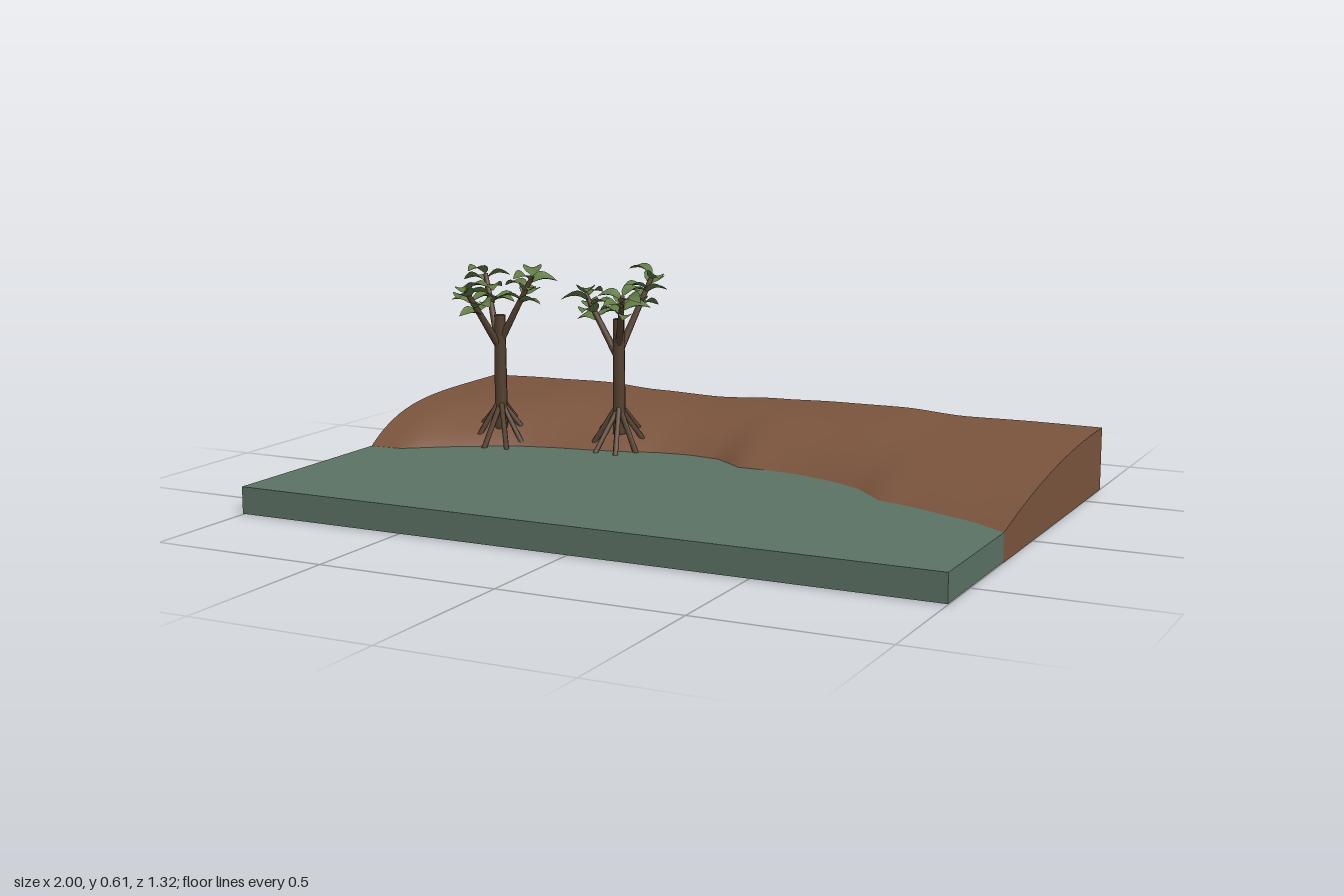
import * as THREE from 'three';

const paint = (name, color) => {
  const m = new THREE.MeshStandardMaterial({ color });
  m.name = name;
  return m;
};
const soil = paint('soil brown', 0x7a543d);
const water = paint('murky water green', 0x5b7265);
const bark = paint('dark bark', 0x54402f);
const leafGreen = paint('leaf green', 0x617a45);
leafGreen.side = THREE.DoubleSide;

const BACK = -0.66, FRONT = 0.66, WATER_Y = 0.077;
// shoreline z every 0.1 in x, and ridge height every 0.2 in x
const SHORE = [0.05, 0.045, -0.03, -0.09, -0.14, -0.165, -0.18, -0.2, -0.235, -0.245, -0.23,
  -0.155, -0.155, -0.14, -0.105, -0.05, 0.055, 0.085, 0.13, 0.175, 0.245];
const RIDGE = [0.183, 0.187, 0.19, 0.179, 0.174, 0.184, 0.189, 0.19, 0.179, 0.181, 0.18];

function sample(table, x, smooth) {
  const f = (x + 1) / 2 * (table.length - 1);
  const i = Math.min(Math.floor(f), table.length - 2);
  const k = f - i;
  return THREE.MathUtils.lerp(table[i], table[i + 1], smooth ? k * k * (3 - 2 * k) : k);
}

// point on the bank: t = 0 at the shore, 1 at the back edge
function bankPoint(x, t) {
  const steep = THREE.MathUtils.lerp(4.8, 2.1, (x + 1) / 2);
  const rise = 1 - Math.pow(1 - t, steep);
  return new THREE.Vector3(x,
    WATER_Y + (sample(RIDGE, x, true) - WATER_Y) * rise,
    THREE.MathUtils.lerp(sample(SHORE, x), BACK, t));
}

// plane whose vertices are placed by a rule of (u, v)
function sheet(nu, nv, rule) {
  const g = new THREE.PlaneGeometry(1, 1, nu, nv);
  const { position, uv } = g.attributes;
  for (let i = 0; i < position.count; i++) {
    const p = rule(uv.getX(i), uv.getY(i));
    position.setXYZ(i, p.x, p.y, p.z);
  }
  g.computeVertexNormals();
  return g;
}

function add(parent, name, geometry, material) {
  const mesh = new THREE.Mesh(geometry, material);
  mesh.name = name;
  parent.add(mesh);
  return mesh;
}

function buildGround(root) {
  const bank = new THREE.Group();
  bank.name = 'bank';
  root.add(bank);
  add(bank, 'bankSurface', sheet(60, 20, (u, v) => bankPoint(u * 2 - 1, Math.pow(v, 1.5))), soil);
  // vertical cut faces, each running left to right as seen from outside
  const wall = (name, edge) => add(bank, name, sheet(60, 1, (u, v) => {
    const p = edge(u);
    p.y *= v;
    return p;
  }), soil);
  wall('backWall', u => bankPoint(1 - 2 * u, 1));
  wall('leftWall', u => bankPoint(1, Math.pow(u, 1.5)));
  wall('rightWall', u => bankPoint(-1, Math.pow(1 - u, 1.5)));
  add(bank, 'underside', new THREE.PlaneGeometry(2, FRONT - BACK).rotateX(Math.PI / 2), soil);

  // water slab following the shoreline
  const outline = new THREE.Shape();
  outline.moveTo(-1, -FRONT);
  outline.lineTo(1, -FRONT);
  for (let i = 20; i >= 0; i--) outline.lineTo(i / 10 - 1, -SHORE[i]);
  const slab = new THREE.ExtrudeGeometry(outline, { depth: WATER_Y - 0.002, bevelEnabled: false });
  add(root, 'water', slab.rotateX(-Math.PI / 2).translate(0, 0.002, 0), water);
}

// tapered limb between two points
function limb(parent, name, a, b, r0, r1, sides = 8) {
  const dir = b.clone().sub(a);
  const mesh = add(parent, name, new THREE.CylinderGeometry(r1, r0, dir.length(), sides), bark);
  mesh.position.copy(a).lerp(b, 0.5);
  mesh.quaternion.setFromUnitVectors(new THREE.Vector3(0, 1, 0), dir.normalize());
}

// pointed oval leaf, cupped across and drooping at the tip, growing along +x
const leafGeometry = sheet(6, 4, (u, v) => {
  const side = v * 2 - 1;
  const half = 0.03 * Math.pow(Math.sin(Math.PI * Math.pow(u, 0.85)), 0.8);
  return new THREE.Vector3(u * 0.085, 0.012 * side * side * Math.sin(Math.PI * u)
    + 0.012 * Math.sin(Math.PI * u) - 0.008 * u * u, -side * half);
});

function buildTree(root, name, x, z, top, branches, spin) {
  const tree = new THREE.Group();
  tree.name = name;
  root.add(tree);
  const at = (px, py, pz) => new THREE.Vector3(px, py, pz);
  limb(tree, 'trunk', at(x, 0.12, z), at(x, top, z), 0.02, 0.017);

  // stilt roots
  for (let i = 0; i < 9; i++) {
    const a = spin + i * Math.PI * 2 / 9;
    const r = 0.09 + 0.022 * ((i * 2) % 3) / 2;
    limb(tree, 'stiltRoot', at(x, 0.2 + 0.012 * (i % 2), z),
      at(x + Math.cos(a) * r, 0.07, z + Math.sin(a) * r), 0.008, 0.008, 6);
  }

  // branches, each with tiers of leaves
  branches.forEach(([bx, by, bz], n) => {
    const start = at(x, 0.34 + 0.02 * n, z);
    const end = at(bx, by, bz);
    limb(tree, 'branch', start, end, 0.012, 0.007);
    const outward = Math.atan2(bz - z, bx - x);
    for (let i = 0; i < 8; i++) {
      const leaf = add(tree, 'leaf', leafGeometry, leafGreen);
      leaf.position.copy(start).lerp(end, 0.58 + 0.42 * i / 7);
      leaf.rotation.order = 'YZX';
      leaf.rotation.set((i % 3 - 1) * 0.25, -(outward + i * 2.4), 0.12 + 0.05 * (i % 4));
      leaf.scale.setScalar(0.85 + 0.08 * (i % 3));
    }
  });
}

export function createModel() {
  const root = new THREE.Group();
  root.name = 'mangroveShore';
  buildGround(root);
  buildTree(root, 'outerMangrove', -0.685, -0.17, 0.46,
    [[-0.775, 0.57, -0.24], [-0.735, 0.54, -0.065], [-0.575, 0.58, -0.175]], 0.2);
  buildTree(root, 'innerMangrove', -0.33, -0.25, 0.46,
    [[-0.435, 0.53, -0.24], [-0.275, 0.58, -0.36], [-0.265, 0.54, -0.15]], 0.5);
  return root;
}
